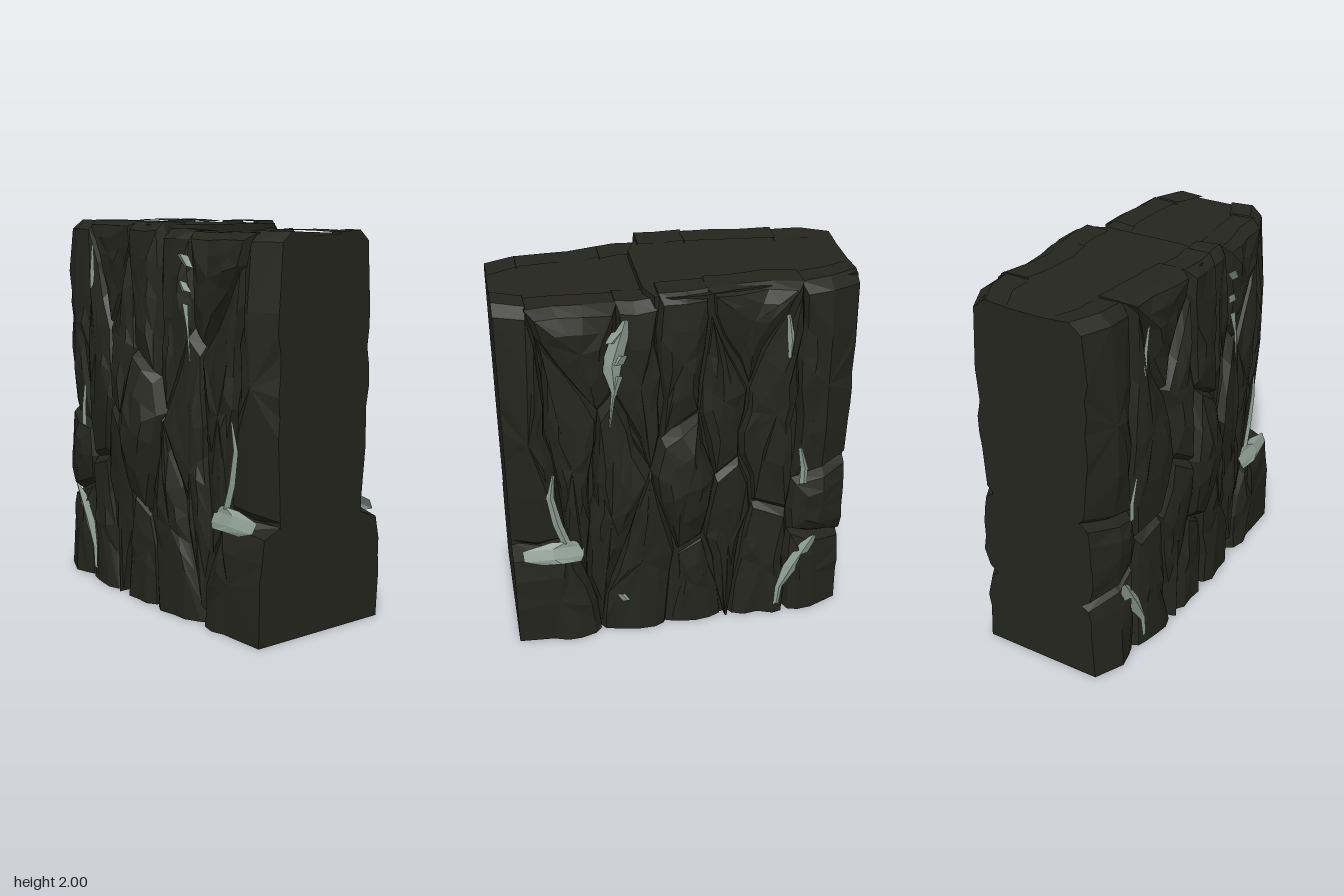
import * as THREE from 'three';

const rockMat = new THREE.MeshStandardMaterial({ color: 0x24251d, flatShading: true });
const veinMat = new THREE.MeshStandardMaterial({ color: 0x8c9c92, flatShading: true, side: THREE.DoubleSide });
const { clamp } = THREE.MathUtils;
const HALF = 0.89;
const STRETCH = 0.3; // heights count less than widths, so the stones grow tall

// Small seeded jitter in -1..1
let seed = 7;
const jit = () => {
  seed = (seed * 16807) % 2147483647;
  return (seed / 2147483647) * 2 - 1;
};

// Depth of a rock face: swollen in the middle, bulging at mid height, rounded at the ends
const bell = (v, centre, width) => Math.exp(-(((v - centre) / width) ** 2));
function faceDepth(x, y, side) {
  const bulgeX = side > 0 ? -0.1 : 0.03;
  const back = side < 0 ? clamp((-0.4 - x) * 0.4, 0, 0.06) + clamp((x - 0.2) * 0.1, 0, 0.025) : 0;
  const round = Math.max(0, Math.abs(x) - 0.79) * (x > 0 && y < 0.57 ? 0.1 : 0.7);
  return 0.36 + 0.06 * bell(x, 0, 0.45) + 0.075 * bell(x, bulgeX, 0.29) * bell(y, 0.95, 0.33) + back - round;
}

// Stone centres: x, y, depth offset
const stones = [
  [-0.74, 1.15, -0.015], [-0.44, 1.15, 0.005], [-0.21, 1.4, 0], [-0.3, 1.86, -0.005],
  [0.01, 1.65, 0.01], [-0.03, 0.95, 0.01], [0.21, 1.66, -0.02], [0.36, 1, 0.015],
  [0.53, 1.15, 0.005], [0.75, 0.95, -0.015], [0.44, 1.82, 0], [0.74, 0.22, 0.03],
  [0.17, 0.4, 0], [-0.07, 0.14, -0.015], [-0.75, 0.65, 0], [-0.74, 0.33, -0.005],
  [-0.42, 0.3, 0.005], [-0.25, 0.6, -0.005],
];

// Outline of one stone: the wall rectangle cut halfway towards every other centre
function cell(centre) {
  const top = centre[0] < 0.14 ? 1.98 + 0.02 * bell(centre[0], -0.2, 0.3) : 1.95;
  let poly = [[-HALF, 0], [HALF, 0], [HALF, top], [-HALF, top]];
  for (const other of stones) {
    if (other === centre) continue;
    const dx = other[0] - centre[0], dy = (other[1] - centre[1]) * STRETCH ** 2;
    const mx = (other[0] + centre[0]) / 2, my = (other[1] + centre[1]) / 2;
    const f = p => (p[0] - mx) * dx + (p[1] - my) * dy;
    const cut = [];
    poly.forEach((a, i) => {
      const b = poly[(i + 1) % poly.length], fa = f(a), fb = f(b);
      if (fa <= 0) cut.push(a);
      if (fa * fb < 0) {
        const t = fa / (fa - fb);
        cut.push([a[0] + (b[0] - a[0]) * t, a[1] + (b[1] - a[1]) * t]);
      }
    });
    poly = cut;
  }
  return poly;
}

// Split the edges into short, slightly crooked pieces
function roughen(poly) {
  const out = [];
  poly.forEach((a, i) => {
    const b = poly[(i + 1) % poly.length];
    const parts = Math.ceil(Math.hypot(b[0] - a[0], b[1] - a[1]) / 0.2);
    const straight = (Math.abs(a[0]) === HALF && a[0] === b[0]) || (a[1] === 0 && b[1] === 0);
    for (let k = 0; k < parts; k++) {
      const t = k / parts, j = straight || k === 0 ? 0 : 0.025;
      out.push([a[0] + (b[0] - a[0]) * t + jit() * j, a[1] + (b[1] - a[1]) * t + jit() * j * 0.4]);
    }
  });
  return out;
}

function meshFrom(name, pos, idx, material) {
  const g = new THREE.BufferGeometry();
  g.setAttribute('position', new THREE.Float32BufferAttribute(pos, 3));
  g.setIndex(idx);
  g.computeVertexNormals();
  const m = new THREE.Mesh(g, material);
  m.name = name;
  return m;
}

// One stone: rings shrink towards its middle as they rise out of the core
function stone(centre, side) {
  const pts = roughen(cell(centre)), n = pts.length;
  const cx = pts.reduce((s, p) => s + p[0], 0) / n;
  const cy = pts.reduce((s, p) => s + p[1], 0) / n;
  const pos = [], idx = [];
  // Scale, largest inset, depth below the face, depth jitter
  const rings = [[1.01, 0.01, 0.2, 0], [1.03, 0.015, 0.075, 0.012], [0.86, 0.035, 0.02, 0.01], [0.5, 1, -0.004, 0.012]];
  for (const [s, limit, drop, j] of rings) {
    const inset = (p, c) => p + clamp((c - p) * (1 - s), -limit, limit);
    for (const [px, py] of pts) {
      const x = Math.abs(px) === HALF ? px : clamp(inset(px, cx), -HALF, HALF);
      const y = py === 0 ? 0 : clamp(inset(py, cy), 0, 2);
      pos.push(x, y, (faceDepth(x, y, side) + centre[2] - drop + jit() * j) * side);
    }
  }
  pos.push(cx, cy, (faceDepth(cx, cy, side) + centre[2] + 0.006) * side);
  const tri = (a, b, c) => (side > 0 ? idx.push(a, b, c) : idx.push(a, c, b));
  const last = rings.length - 1;
  for (let i = 0; i < n; i++) {
    const k = (i + 1) % n;
    for (let r = 0; r < last; r++) {
      const a = r * n + i, b = r * n + k;
      tri(a, b, b + n);
      tri(a, b + n, a + n);
    }
    tri(last * n + i, last * n + k, rings.length * n);
  }
  return meshFrom('stone', pos, idx, rockMat);
}

// Pale vein: crowned strip through points x, y, width and optional lift off the face
function vein(path, side) {
  const pos = [], idx = [];
  path.forEach(([x, y, w, lift = 0.012], i) => {
    const z = faceDepth(x, y, side) + lift;
    const crown = Math.min(0.02, w * 0.3);
    pos.push(x - w / 2, y, (z - crown) * side, x, y + 0.01, z * side, x + w / 2, y, (z - crown) * side);
    if (i) {
      const a = i * 3 - 3;
      for (const k of [a, a + 1]) idx.push(k, k + 1, k + 4, k, k + 4, k + 3);
    }
  });
  return meshFrom('paleVein', pos, idx, veinMat);
}

const veins = [
  [[-0.53, 0.06, 0.03], [-0.54, 0.18, 0.04], [-0.61, 0.32, 0.1], [-0.69, 0.46, 0.08], [-0.72, 0.51, 0.03]],
  [[-0.64, 0.86, 0.04], [-0.64, 0.96, 0.04], [-0.61, 1.09, 0.02]],
  [[-0.53, 1.62, 0.02], [-0.53, 1.72, 0.04], [-0.51, 1.86, 0.02]],
  [[0.64, 0.52, 0.2, 0.05], [0.68, 0.55, 0.31, 0.045], [0.68, 0.6, 0.32, 0.02], [0.61, 0.63, 0.16, 0.005]],
  [[0.61, 0.62, 0.05], [0.65, 0.75, 0.05], [0.68, 0.92, 0.04], [0.66, 1.06, 0.015]],
  [[0.37, 1.32, 0.01], [0.35, 1.48, 0.02], [0.32, 1.6, 0.05]],
  [[0.33, 1.66, 0.08], [0.3, 1.71, 0.06]],
  [[0.35, 1.78, 0.06], [0.3, 1.84, 0.09]],
  [[0.3, 0.2, 0.05], [0.33, 0.25, 0.04]],
];
const backVein = [[0.34, 1.5, 0.02], [0.35, 1.66, 0.1], [0.31, 1.8, 0.09], [0.28, 1.9, 0.03]];

// Solid core: outline x, z raised to a height
function core(name, outline, height) {
  const shape = new THREE.Shape(outline.map(([x, z]) => new THREE.Vector2(x, -z)));
  const g = new THREE.ExtrudeGeometry(shape, { depth: height, bevelEnabled: false });
  g.rotateX(-Math.PI / 2);
  const m = new THREE.Mesh(g, rockMat);
  m.name = name;
  return m;
}

export function createModel() {
  const model = new THREE.Group();
  model.name = 'rockWall';

  // Inner masses with flat caps at two heights
  model.add(core('tallCore', [[-0.89, 0.17], [-0.5, 0.3], [0, 0.38], [0.1, 0.33], [0.17, 0.18],
    [0.17, -0.25], [0.13, -0.36], [0.05, -0.39], [-0.1, -0.39], [-0.25, -0.36], [-0.6, -0.34], [-0.89, -0.29]], 1.985));
  model.add(core('lowCore', [[0.16, 0.24], [0.3, 0.29], [0.55, 0.28], [0.89, 0.21],
    [0.89, -0.23], [0.6, -0.3], [0.16, -0.3]], 1.945));

  // Stones and veins on both faces
  for (const side of [1, -1]) {
    const face = new THREE.Group();
    face.name = side > 0 ? 'frontFace' : 'backFace';
    for (const s of stones) face.add(stone(s, side));
    for (const v of veins) face.add(vein(v, side));
    model.add(face);
  }
  // Wider vein near the top of the back
  model.add(vein(backVein, -1));
  return model;
}
